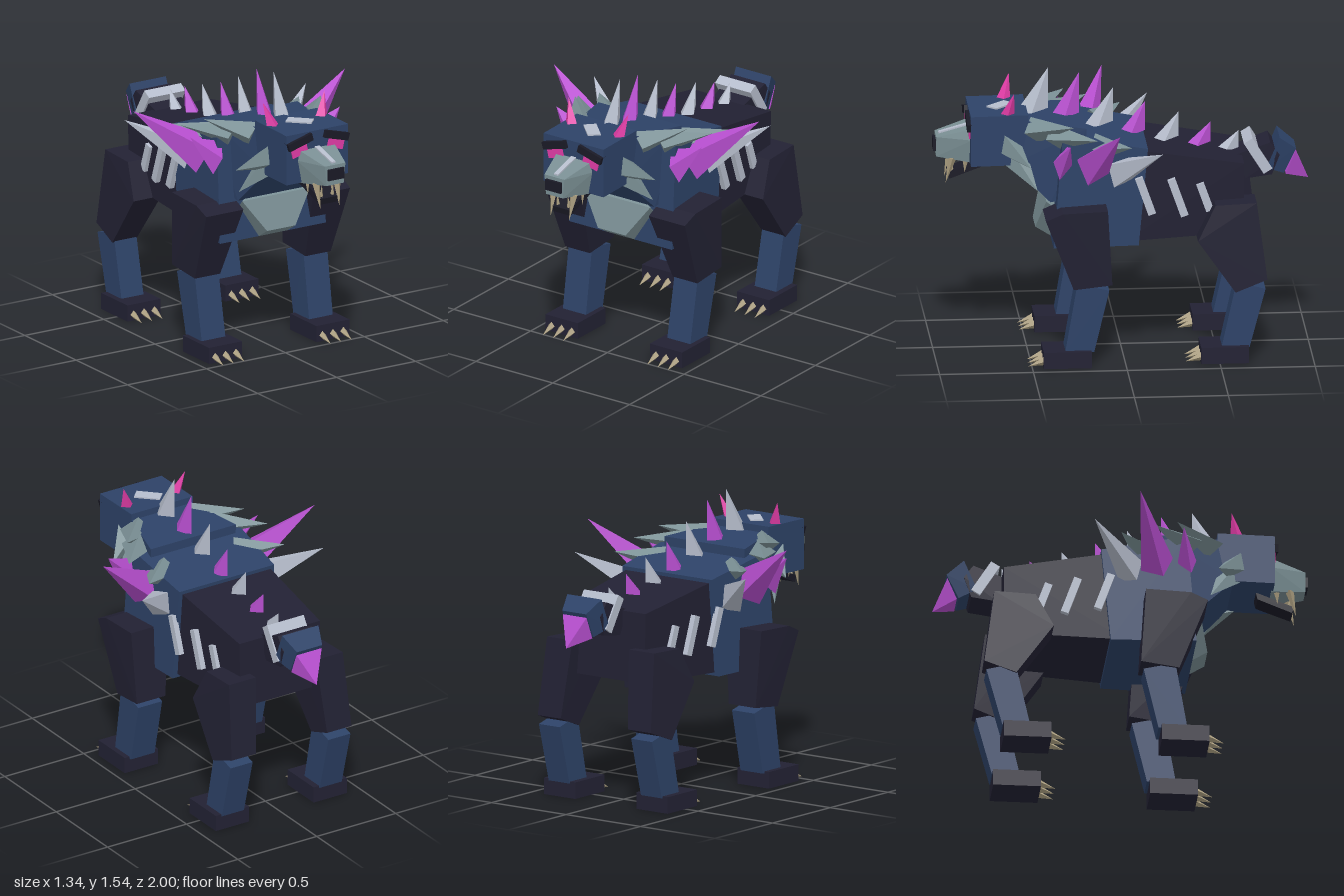
import * as THREE from 'three';
import { ConvexGeometry } from 'three/addons/geometries/ConvexGeometry.js';

const material = (name, color) => {
  const m = new THREE.MeshStandardMaterial({ color });
  m.name = name;
  return m;
};

export function createModel() {
  const dark = material('dark hide', 0x222133);
  const blue = material('blue hide', 0x2d4267);
  const black = material('black', 0x1a1a26);
  const teal = material('grey fur', 0x7a8f94);
  const pale = material('pale bone', 0xb6bdcc);
  const purple = material('purple crystal', 0xb84fd0);
  const pink = material('pink', 0xe03ca6);
  const tan = material('tan claw', 0xa99c7e);

  const model = new THREE.Group();
  model.name = 'spinedBeast';
  const v = (p) => new THREE.Vector3(...p);
  const add = (name, mat, geometry, parent = model) => {
    const mesh = new THREE.Mesh(geometry, mat);
    mesh.name = name;
    parent.add(mesh);
    return mesh;
  };
  // Faceted solid around a set of corners
  const hull = (name, mat, pts, parent) => add(name, mat, new ConvexGeometry(pts.map(v)), parent);
  // Solid from side-profile points [z, y, halfWidth], symmetric about x = 0
  const block = (name, mat, profile) =>
    hull(name, mat, profile.flatMap(([z, y, w]) => [[-w, y, z], [w, y, z]]));
  // Solid on one side from points [z, y, innerX, outerX]
  const sideBlock = (name, mat, s, profile, parent) =>
    hull(name, mat, profile.flatMap(([z, y, a, b]) => [[s * a, y, z], [s * b, y, z]]), parent);
  // Four-sided spike: base centre, tip and the two half-axes of the base
  const spike = (name, mat, base, tip, a, b, s = 1, parent = model) => {
    const c = v(base), A = v(a), B = v(b);
    const pts = [c.clone().add(A), c.clone().sub(A), c.clone().add(B), c.clone().sub(B), v(tip)];
    return hull(name, mat, pts.map((p) => [p.x * s, p.y, p.z]), parent);
  };
  const box = (name, mat, size, pos, rot = [0, 0, 0]) => {
    const mesh = add(name, mat, new THREE.BoxGeometry(...size));
    mesh.position.set(...pos);
    mesh.rotation.set(...rot);
    return mesh;
  };

  // Torso, chest and neck
  block('hindTorso', dark, [[0, 1.165, 0.285], [0, 0.65, 0.285], [-0.64, 1.06, 0.255], [-0.64, 0.68, 0.25]]);
  block('chest', blue, [[0.33, 1.25, 0.325], [0.38, 0.635, 0.335], [-0.125, 1.165, 0.3], [-0.075, 0.635, 0.31]]);
  block('neck', blue, [[0.2, 1.275, 0.27], [0.2, 0.9, 0.25], [0.39, 0.86, 0.23], [0.52, 1.3, 0.19], [0.59, 1.06, 0.185]]);
  block('chestPlate', teal, [[0.36, 0.88, 0.13], [0.41, 0.86, 0.215], [0.34, 0.8, 0.2],
    [0.46, 0.685, 0.09], [0.38, 0.635, 0.09]]);

  // Head, snout and jaw
  block('head', blue, [[0.505, 1.335, 0.195], [0.81, 1.33, 0.195], [0.505, 1.06, 0.195], [0.81, 1.055, 0.195]]);
  block('snout', teal, [[0.79, 1.24, 0.115], [0.8, 1.18, 0.125], [0.8, 1.05, 0.1],
    [0.985, 1.185, 0.065], [0.985, 1.075, 0.055]]);
  box('nose', black, [0.1, 0.06, 0.05], [0, 1.135, 0.975]);
  block('snoutStripe', pale, [[0.8, 1.245, 0.016], [0.97, 1.198, 0.013], [0.8, 1.23, 0.016], [0.97, 1.185, 0.013]]);
  block('jaw', black, [[0.72, 1.06, 0.06], [0.73, 1.02, 0.06], [0.925, 0.985, 0.055], [0.915, 0.95, 0.055]]);
  const mark = box('foreheadMark', pale, [0.14, 0.008, 0.07], [0, 1.337, 0.64]);
  mark.rotation.y = -Math.PI / 4;

  for (const s of [1, -1]) {
    // Face
    box('eye', pink, [0.1, 0.055, 0.008], [s * 0.115, 1.237, 0.813], [0, 0, s * -0.25]);
    box('brow', black, [0.155, 0.042, 0.04], [s * 0.115, 1.285, 0.81], [0, 0, s * -0.27]);
    spike('ear', pink, [0.15, 1.32, 0.615], [0.195, 1.455, 0.58], [0.04, 0, 0], [0, 0, 0.04], s);
    spike('fang', tan, [0.065, 1.07, 0.9], [0.06, 0.93, 0.935], [0.024, 0, 0], [0, 0, 0.024], s);
    spike('lowerFang', tan, [0.035, 0.98, 0.9], [0.035, 1.06, 0.91], [0.014, 0, 0], [0, 0, 0.014], s);
    spike('backFang', tan, [0.075, 1.07, 0.83], [0.075, 0.99, 0.835], [0.014, 0, 0], [0, 0, 0.018], s);
    // Cheek tufts
    spike('upperCheekTuft', teal, [0.185, 1.15, 0.6], [0.315, 1.075, 0.5], [0.01, 0.075, 0.03], [0, -0.02, 0.06], s);
    spike('lowerCheekTuft', teal, [0.18, 1.09, 0.57], [0.27, 0.935, 0.46], [0.01, 0.06, 0.03], [0, -0.03, 0.06], s);
    // Mane tufts: base, tip
    [[[0.18, 1.25, 0.47], [0.37, 1.31, 0.275]],
      [[0.24, 1.23, 0.36], [0.44, 1.255, 0.15]],
      [[0.24, 1.17, 0.13], [0.43, 1.21, -0.03]]].forEach(([base, tip]) =>
      spike('maneTuft', teal, base, tip, [-0.02, 0.065, 0.02], [0.07, 0, 0.06], s));
    // Shoulder crystals and bone spike
    spike('largeCrystal', purple, [0.32, 1.08, 0.17], [0.67, 1.345, 0.05], [0, 0.04, 0.085], [-0.05, 0.09, -0.03], s);
    spike('smallCrystal', purple, [0.32, 1.1, 0.33], [0.475, 1.235, 0.3], [0, 0.01, 0.05], [-0.04, 0.08, -0.02], s);
    spike('shoulderBone', pale, [0.31, 1.04, 0.03], [0.575, 1.215, -0.185], [0.02, 0.05, 0.06], [-0.04, 0.07, -0.03], s);
    // Rib strips
    [[0.312, 0.91, -0.11, 0.215], [0.288, 0.89, -0.285, 0.215], [0.27, 0.885, -0.43, 0.16]].forEach(([x, y, z, h]) =>
      box('rib', pale, [0.03, h, 0.042], [s * x, y, z], [0.34, 0, 0]));
  }

  // Back spines, alternating bone and crystal: tip z, tip y, base y, half length
  [[0.385, 1.54, 1.3, 0.09], [0.22, 1.51, 1.27, 0.08], [0.04, 1.42, 1.22, 0.08], [-0.13, 1.34, 1.165, 0.078],
    [-0.31, 1.28, 1.13, 0.075], [-0.48, 1.22, 1.095, 0.075], [-0.63, 1.17, 1.06, 0.075]].forEach(([z, y, by, l], i) =>
    spike('backSpine', i % 2 ? purple : pale, [0, by, z + l], [0, y, z], [0.045 - i * 0.001, 0, 0], [0, -0.015, l]));

  // Tail
  block('tailBase', dark, [[-0.6, 1.06, 0.1], [-0.66, 0.93, 0.1], [-0.79, 1.13, 0.11], [-0.84, 1.06, 0.11], [-0.8, 0.95, 0.1]]);
  box('tailRing', pale, [0.232, 0.2, 0.055], [0, 1.057, -0.725], [0.56, 0, 0]);
  block('tailEnd', blue, [[-0.84, 1.155, 0.115], [-0.77, 0.99, 0.115], [-0.93, 1.085, 0.08], [-0.865, 0.95, 0.08]]);
  block('tailTip', purple, [[-0.925, 1.065, 0.08], [-0.875, 0.945, 0.08], [-1, 0.9, 0]]);

  // Legs
  const paw = (s, x, z, parent) => {
    sideBlock('paw', dark, s, [[z, 0, x - 0.105, x + 0.105], [z, 0.09, x - 0.105, x + 0.105],
      [z - 0.255, 0, x - 0.105, x + 0.105], [z - 0.255, 0.09, x - 0.105, x + 0.105]], parent);
    for (const d of [-0.066, 0, 0.066])
      spike('claw', tan, [x + d, 0.035, z - 0.005], [x + d, 0.006, z + 0.08], [0.021, 0, 0], [0, 0.024, 0], s, parent);
  };
  for (const s of [1, -1]) {
    const front = new THREE.Group();
    front.name = s > 0 ? 'leftFrontLeg' : 'rightFrontLeg';
    sideBlock('thigh', dark, s, [[0.43, 0.82, 0.22, 0.455], [0.34, 0.86, 0.22, 0.46], [0.1, 0.87, 0.22, 0.46],
      [0.28, 0.43, 0.27, 0.43], [0.075, 0.455, 0.26, 0.44]], front);
    sideBlock('shin', blue, s, [[0.26, 0.46, 0.27, 0.42], [0.09, 0.42, 0.27, 0.42],
      [0.325, 0.08, 0.265, 0.415], [0.17, 0.08, 0.265, 0.415]], front);
    paw(s, 0.34, 0.44, front);

    const hind = new THREE.Group();
    hind.name = s > 0 ? 'leftHindLeg' : 'rightHindLeg';
    sideBlock('thigh', dark, s, [[-0.48, 0.86, 0.19, 0.36], [-0.7, 0.87, 0.19, 0.36], [-0.385, 0.67, 0.21, 0.385],
      [-0.585, 0.385, 0.235, 0.39], [-0.755, 0.45, 0.225, 0.38]], hind);
    sideBlock('shin', blue, s, [[-0.59, 0.44, 0.24, 0.38], [-0.745, 0.4, 0.24, 0.38],
      [-0.51, 0.08, 0.24, 0.38], [-0.66, 0.08, 0.24, 0.38]], hind);
    paw(s, 0.31, -0.4, hind);
    model.add(front, hind);
  }
  return model;
}
